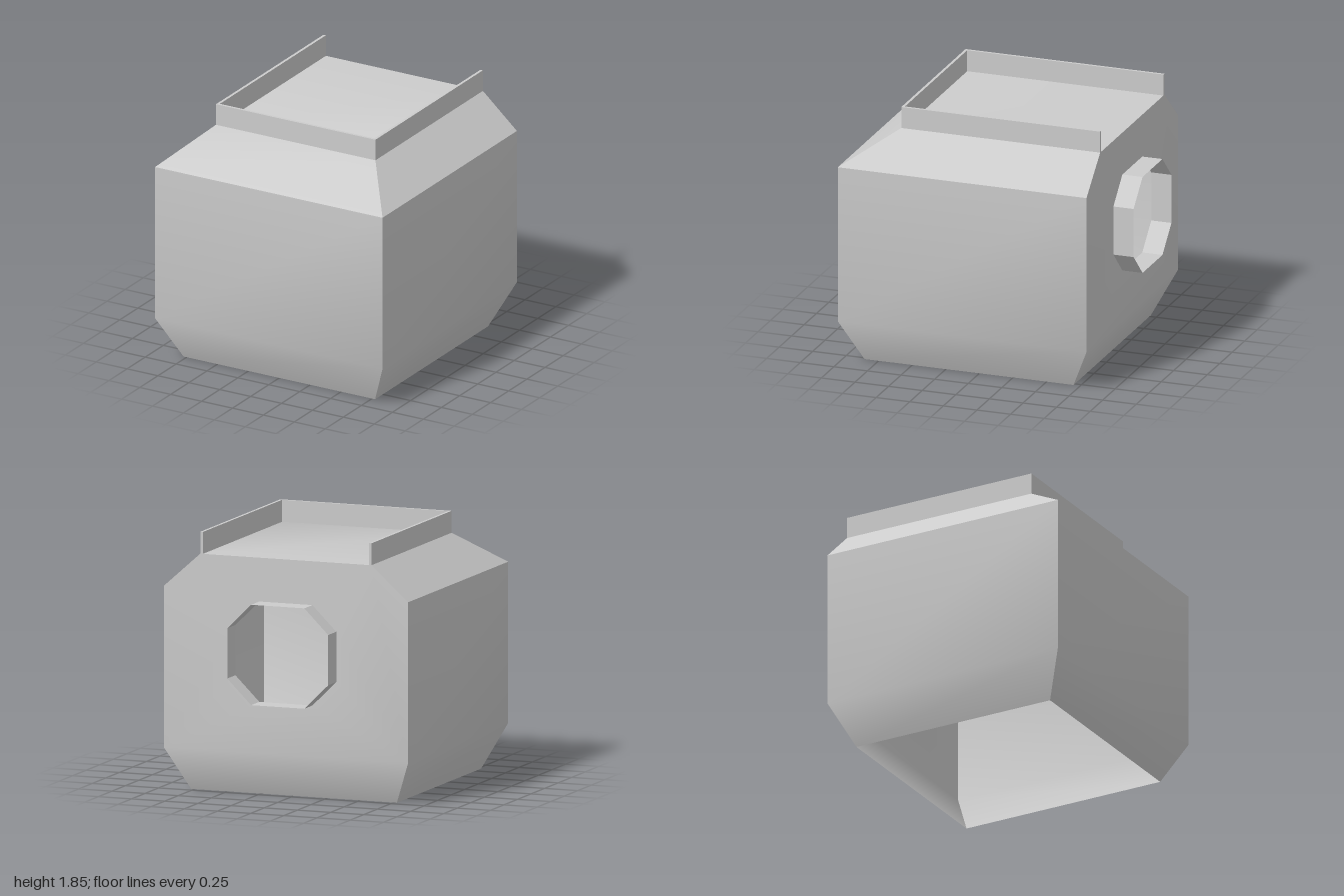
import * as THREE from 'three';
import { mergeGeometries, toCreasedNormals } from 'three/addons/utils/BufferGeometryUtils.js';

const BACK = -0.85, SHOULDER = 1.695;
const material = new THREE.MeshStandardMaterial({ color: 0xcccccc, side: THREE.DoubleSide });

// Turns a list of four-cornered faces (counter-clockwise from outside) into a geometry
function quads(faces) {
  const pos = faces.flatMap(([a, b, c, d]) => [a, b, c, a, c, d].flat());
  const geo = new THREE.BufferGeometry();
  geo.setAttribute('position', new THREE.Float32BufferAttribute(pos, 3));
  geo.computeVertexNormals();
  return geo;
}

// Octagonal outline of the rear opening
const octagon = [
  [0.38, 0.178], [0.2, 0.355], [-0.2, 0.355], [-0.38, 0.178],
  [-0.38, -0.178], [-0.2, -0.355], [0.2, -0.355], [0.38, -0.178],
].map(([x, y]) => new THREE.Vector2(x, y + 1.03));

function bodyGeometry() {
  // Rectangular rings: height, half width, front z, back z
  const rings = [
    [0, 0.775, 0.855, -0.7],
    [0.31, 0.92, 1, BACK],
    [1.45, 0.92, 1, BACK],
    [SHOULDER, 0.645, 0.63, BACK],
  ].map(([y, w, f, b]) => [[-w, y, f], [w, y, f], [w, y, b], [-w, y, b]]);

  // Walls, open underneath; the upright back is made separately
  const faces = [];
  for (let r = 0; r < 3; r++) {
    for (let i = 0; i < 4; i++) {
      if (i === 2 && r > 0) continue;
      const j = (i + 1) % 4;
      faces.push([rings[r][i], rings[r][j], rings[r + 1][j], rings[r + 1][i]]);
    }
  }
  faces.push(rings[3]); // flat top

  // Back wall with the octagonal hole
  const back = new THREE.Shape([
    [-0.92, 0.31], [0.92, 0.31], [0.92, 1.45], [0.645, SHOULDER], [-0.645, SHOULDER], [-0.92, 1.45],
  ].map(([x, y]) => new THREE.Vector2(x, y)));
  back.holes.push(new THREE.Path(octagon));
  const backGeo = new THREE.ShapeGeometry(back).toNonIndexed();
  backGeo.deleteAttribute('uv');
  backGeo.rotateY(Math.PI).translate(0, 0, BACK);

  return toCreasedNormals(mergeGeometries([quads(faces), backGeo]), 0.6);
}

// Thin octagonal sleeve around the opening
function collarGeometry() {
  return quads(octagon.map((p, i) => {
    const q = octagon[(i + 1) % 8];
    return [[p.x, p.y, BACK], [p.x, p.y, -1], [q.x, q.y, -1], [q.x, q.y, BACK]].reverse();
  }));
}

// Three-sided lip on the top, open at the back
function rimGeometry() {
  const o = 0.645, i = 0.625, f = 0.63, g = 0.61;
  const outline = [[-o, BACK], [-o, f], [o, f], [o, BACK], [i, BACK], [i, g], [-i, g], [-i, BACK]];
  const shape = new THREE.Shape(outline.map(([x, z]) => new THREE.Vector2(x, -z)));
  return new THREE.ExtrudeGeometry(shape, { depth: 1.85 - SHOULDER, bevelEnabled: false })
    .rotateX(-Math.PI / 2)
    .translate(0, SHOULDER, 0);
}

export function createModel() {
  const group = new THREE.Group();
  const parts = { body: bodyGeometry(), rearCollar: collarGeometry(), topRim: rimGeometry() };
  for (const [name, geo] of Object.entries(parts)) {
    const mesh = new THREE.Mesh(geo, material);
    mesh.name = name;
    group.add(mesh);
  }
  return group;
}
